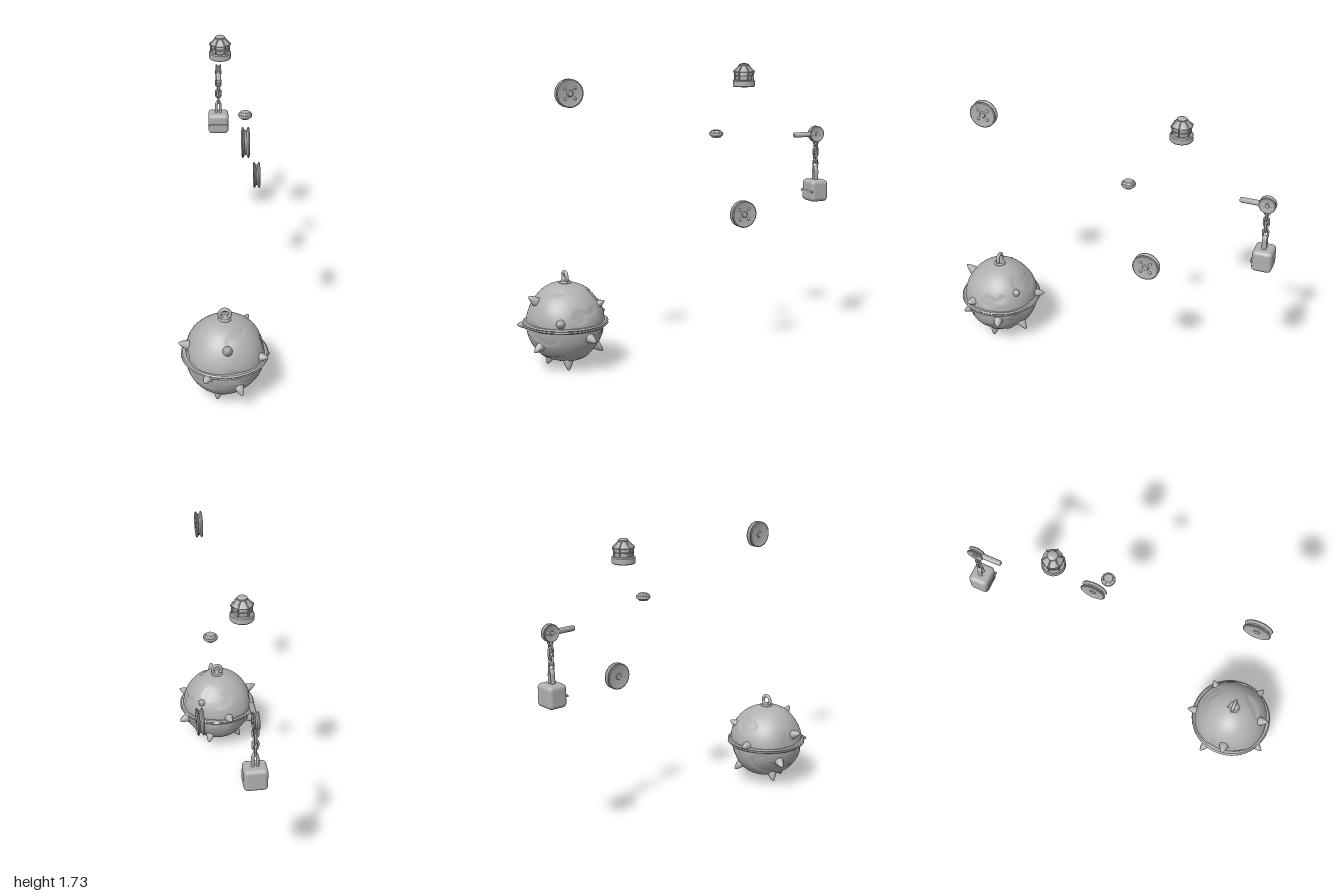
import * as THREE from 'three';
import { toCreasedNormals } from 'three/addons/utils/BufferGeometryUtils.js';
import { RoundedBoxGeometry } from 'three/addons/geometries/RoundedBoxGeometry.js';

const grey = new THREE.MeshStandardMaterial({ color: 0xb0b0b0 });
grey.name = 'plain grey';

const V = (x, y, z) => new THREE.Vector3(x, y, z);

function add(parent, name, geometry, x = 0, y = 0, z = 0) {
  const mesh = new THREE.Mesh(geometry, grey);
  mesh.name = name;
  mesh.position.set(x, y, z);
  parent.add(mesh);
  return mesh;
}

function group(parent, name, x, y, z) {
  const g = new THREE.Group();
  g.name = name;
  g.position.set(x, y, z);
  parent.add(g);
  return g;
}

// Turned part from [radius, height] pairs, bottom to top
function turned(profile, sides = 32, crease = 0.6) {
  const lathe = new THREE.LatheGeometry(profile.map(([r, y]) => new THREE.Vector2(r, y)), sides);
  return toCreasedNormals(lathe, crease);
}

// Grooved wheel whose axle runs along x
function pulley(r, w) {
  const profile = [[0, -w * 0.75], [r * 0.6, -w * 0.75], [r * 0.93, -w], [r, -w * 0.85], [r, -w * 0.6],
    [r * 0.8, -w * 0.2], [r * 0.8, w * 0.2], [r, w * 0.6], [r, w * 0.85], [r * 0.93, w], [r * 0.6, w * 0.75], [0, w * 0.75]];
  return turned(profile, 40).rotateZ(-Math.PI / 2);
}

function wheel(parent, x, y, z) {
  const g = group(parent, 'pulleyWheel', x, y, z);
  add(g, 'wheelRim', pulley(0.08, 0.02));
  const hub = turned([[0, -0.019], [0.016, -0.019], [0.02, -0.015], [0.02, 0.015], [0.015, 0.021], [0, 0.021]], 20);
  add(g, 'wheelHub', hub.rotateZ(-Math.PI / 2));
  for (const sy of [-1, 1]) for (const sz of [-1, 1]) {
    add(g, 'wheelStud', new THREE.SphereGeometry(0.009, 12, 8), 0.014, sy * 0.029, sz * 0.029);
  }
}

// Rough ball with a belt, hanging ring and spikes
function spikedBall(root) {
  const g = group(root, 'spikedBall', 0, 0.28, 0.74);
  const body = new THREE.SphereGeometry(1, 96, 64);
  const p = body.attributes.position;
  const v = V(0, 0, 0);
  for (let i = 0; i < p.count; i++) {
    v.fromBufferAttribute(p, i);
    const lump = 0.004 * Math.sin(3 * v.x + 2 * v.y + 1) * Math.cos(4 * v.z - v.y);
    const field = Math.sin(5 * v.x + 2 * Math.sin(4 * v.y)) + Math.sin(6 * v.y + 3 * v.z) + 0.4 * Math.sin(13 * v.z + 9 * v.x);
    const chip = 0.005 * THREE.MathUtils.smoothstep(field, 0.65, 0.85);
    v.multiplyScalar(0.229 + 0.006 * v.y * v.y + lump - chip);
    p.setXYZ(i, v.x, v.y, v.z);
  }
  body.computeVertexNormals();
  add(g, 'ballBody', body);

  const belt = turned([[0.222, -0.013], [0.24, -0.013], [0.248, -0.006], [0.244, 0], [0.248, 0.006],
    [0.24, 0.013], [0.222, 0.013]], 64);
  add(g, 'belt', belt);
  add(g, 'ringCollar', turned([[0.038, 0.215], [0.038, 0.235], [0.03, 0.243], [0, 0.245]], 24));
  add(g, 'hangingRing', new THREE.TorusGeometry(0.03, 0.0105, 12, 32), 0, 0.264, 0);

  // Spike tips relative to the ball centre
  const tips = [
    [0.014, 0.175, 0.227], [0.14, 0.135, -0.187], [0.24, 0.05, 0.125], [-0.262, 0.1, 0.04],
    [0.262, -0.07, -0.085], [-0.25, -0.1, -0.1], [-0.063, 0.025, -0.272], [-0.118, -0.02, 0.257],
    [0.095, -0.135, 0.226], [0.1, -0.268, 0.022], [-0.046, -0.255, 0.1], [-0.143, -0.232, -0.07],
    [0.08, -0.18, -0.2],
  ];
  for (const tip of tips) {
    const t = V(...tip);
    const spike = add(g, 'spike', turned([[0.022, -0.085], [0.029, -0.062], [0.027, -0.05], [0.018, -0.025],
      [0.007, -0.004], [0, 0]], 12, 0.8));
    spike.position.copy(t);
    spike.quaternion.setFromUnitVectors(V(0, 1, 0), t.normalize());
  }
}

// Lantern head with a caged body
function lantern(root) {
  const g = group(root, 'lantern', 0, 1.602, -0.425);
  add(g, 'lanternBase', turned([[0, 0], [0.064, 0], [0.067, 0.004], [0.067, 0.034], [0.062, 0.04], [0, 0.04]]));
  add(g, 'lanternBody', turned([[0.048, 0.038], [0.05, 0.045], [0.05, 0.085], [0.046, 0.092]]));
  add(g, 'lanternBand', new THREE.TorusGeometry(0.052, 0.004, 8, 32).rotateX(Math.PI / 2), 0, 0.066, 0);
  add(g, 'lanternRoof', turned([[0, 0.086], [0.056, 0.086], [0.058, 0.091], [0.05, 0.098], [0.027, 0.124],
    [0.029, 0.127], [0.029, 0.133], [0.022, 0.138], [0, 0.139]]));
  for (let i = 0; i < 6; i++) {
    const path = new THREE.CatmullRomCurve3([V(0.055, 0.038, 0), V(0.055, 0.075, 0), V(0.061, 0.091, 0),
      V(0.049, 0.102, 0), V(0.027, 0.126, 0)]);
    add(g, 'lanternRib', new THREE.TubeGeometry(path, 20, 0.0045, 8)).rotation.y = i * Math.PI / 3;
  }
}

// Stretched ring for the chain
function chainLink() {
  const points = [];
  for (let i = 0; i < 16; i++) {
    const a = i * Math.PI / 8;
    const s = Math.sin(a);
    points.push(V(0.015 * Math.cos(a), 0.021 * s + 0.011 * Math.sign(Math.round(s * 100)), 0));
  }
  return new THREE.TubeGeometry(new THREE.CatmullRomCurve3(points, true), 40, 0.006, 8, true);
}

// Weight hung by a chain from a small pulley on an arm
function weightAndChain(root) {
  const g = group(root, 'hangingWeight', 0, 0, -0.94);
  add(g, 'weightBlock', new RoundedBoxGeometry(0.132, 0.134, 0.118, 4, 0.024), 0, 0.936, 0);
  add(g, 'frontBar', new THREE.BoxGeometry(0.128, 0.012, 0.012), 0, 0.933, 0.058);

  const arch = new THREE.CatmullRomCurve3([V(-0.013, 0.99, 0), V(-0.013, 1.03, 0), V(-0.011, 1.065, 0),
    V(0, 1.08, 0), V(0.011, 1.065, 0), V(0.013, 1.03, 0), V(0.013, 0.99, 0)]);
  add(g, 'shackle', new THREE.TubeGeometry(arch, 32, 0.009, 10)).scale.z = 1.6;

  const link = chainLink();
  for (let i = 0; i < 5; i++) {
    add(g, 'chainLink', link, 0, 1.1 + i * 0.038, 0).rotation.y = i % 2 ? 0 : Math.PI / 2;
  }
  add(g, 'smallPulley', pulley(0.05, 0.018), 0, 1.289, 0);
  add(g, 'pulleyPin', new THREE.CylinderGeometry(0.013, 0.013, 0.042, 20).rotateZ(Math.PI / 2), 0, 1.289, 0);
  const arm = turned([[0, -0.03], [0.016, -0.03], [0.016, 0.153], [0.012, 0.16], [0, 0.161]], 20);
  add(g, 'arm', arm.rotateX(Math.PI / 2), 0, 1.289, 0);
}

// Small faceted knob
function knob(root) {
  const g = group(root, 'knob', 0.143, 1.344, -0.165);
  add(g, 'knobBody', turned([[0, -0.021], [0.027, -0.021], [0.034, -0.012], [0.034, 0.012], [0.027, 0.021], [0, 0.021]], 8, 0.3));
  add(g, 'knobRim', turned([[0.033, -0.012], [0.04, -0.009], [0.042, 0], [0.04, 0.009], [0.033, 0.012]], 16));
}

export function createModel() {
  const root = new THREE.Group();
  root.name = 'model';
  spikedBall(root);
  lantern(root);
  weightAndChain(root);
  knob(root);
  wheel(root, 0.106, 1.611, 0.737);
  wheel(root, 0.224, 0.867, -0.306);
  return root;
}
